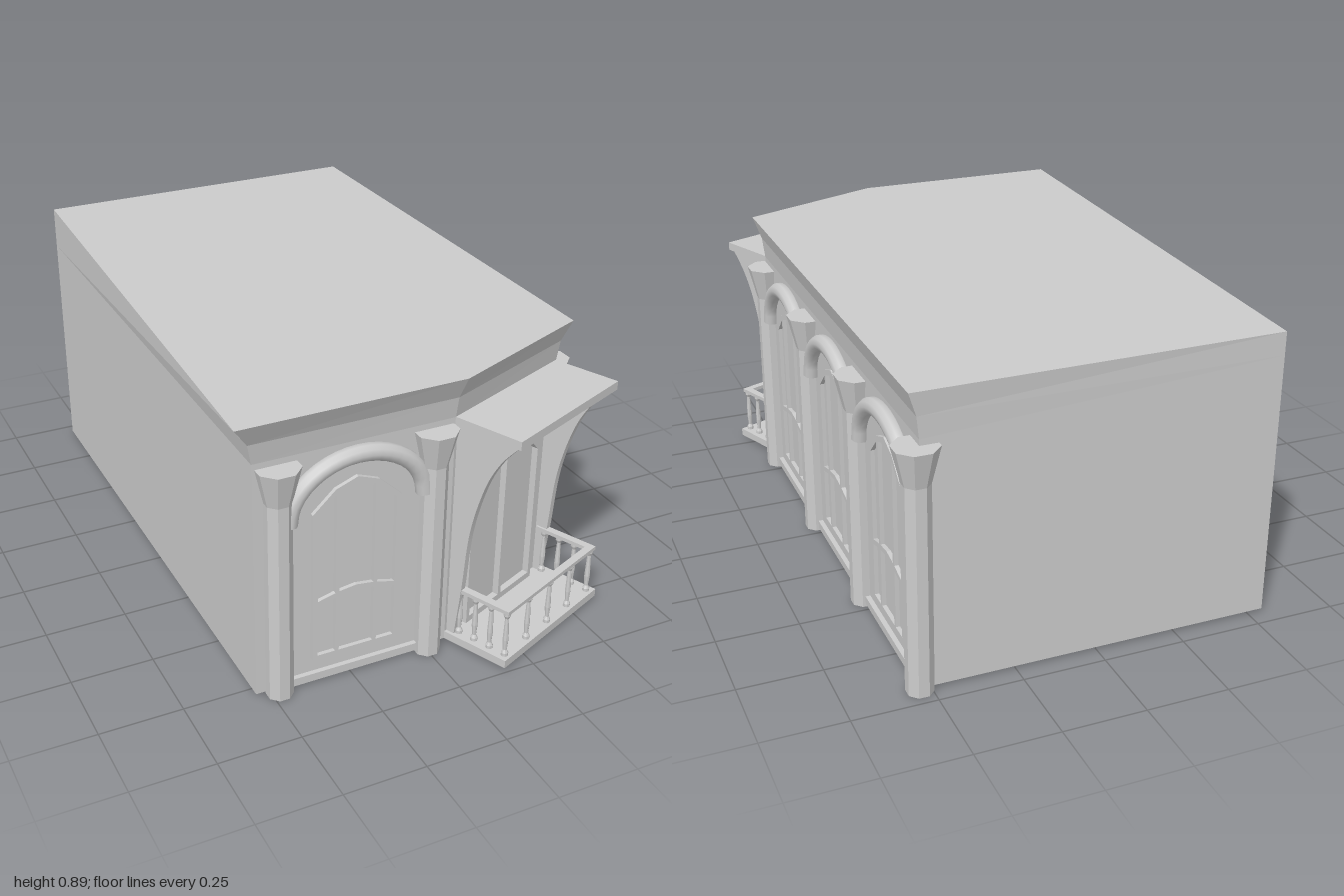
import * as THREE from 'three';

const material = new THREE.MeshStandardMaterial({ color: 0xcccccc, flatShading: true });
const smooth = new THREE.MeshStandardMaterial({ color: 0xcccccc });

function add(parent, name, geometry, x = 0, y = 0, z = 0, mat = material) {
  const mesh = new THREE.Mesh(geometry, mat);
  mesh.name = name;
  mesh.position.set(x, y, z);
  parent.add(mesh);
  return mesh;
}

// A group whose local +z points out of a wall
function wallGroup(parent, name, x, z, angle) {
  const group = new THREE.Group();
  group.name = name;
  group.position.set(x, 0, z);
  group.rotation.y = angle;
  parent.add(group);
  return group;
}

const vec = ([x, y]) => new THREE.Vector2(x, y);
const extrude = (shape, depth) => new THREE.ExtrudeGeometry(shape, { depth, bevelEnabled: false });
function panel(outline, holes, depth) {
  const shape = new THREE.Shape(outline.map(vec));
  holes.forEach((h) => shape.holes.push(new THREE.Path(h.map(vec))));
  return extrude(shape, depth);
}

// Walls, flared cornice and roof: one loop of corners morphed from plan to eaves
function bodyGeometry() {
  const plan = [[-0.545, 0.79], [0.07, 0.79], [0.525, 0.605], [0.525, -0.945], [-0.545, -0.945]];
  const eaves = [[-0.61, 0.835], [0.08, 0.832], [0.555, 0.635], [0.555, -0.953], [-0.545, -0.945]];
  const levels = [[0.01, 0], [0.76, 0.02], [0.825, 0.24], [0.895, 1]];
  const pos = [], index = [], n = plan.length;
  for (const [y, t] of levels) {
    plan.forEach(([x, z], i) => {
      pos.push(x + (eaves[i][0] - x) * t, y, z + (eaves[i][1] - z) * t);
    });
  }
  for (let l = 0; l < levels.length - 1; l++) {
    for (let i = 0; i < n; i++) {
      const a = l * n + i, b = l * n + (i + 1) % n;
      index.push(a, b, b + n, a, b + n, a + n);
    }
  }
  const top = (levels.length - 1) * n;
  for (let i = 1; i < n - 1; i++) {
    index.push(top, top + i, top + i + 1, 0, i + 1, i);
  }
  const g = new THREE.BufferGeometry();
  g.setAttribute('position', new THREE.Float32BufferAttribute(pos, 3));
  g.setIndex(index);
  const flat = g.toNonIndexed();
  flat.computeVertexNormals();
  return flat;
}

// Octagonal pillar with a flared capital (radii given to the flats)
function pillarGeometry() {
  const profile = [[0, 0], [0.0375, 0], [0.0375, 0.635], [0.062, 0.742], [0, 0.742]];
  const k = 1 / Math.cos(Math.PI / 8);
  return new THREE.LatheGeometry(profile.map(([r, y]) => new THREE.Vector2(r * k, y)), 8, Math.PI / 8);
}

// Arched six-pane window frame
function windowGeometry() {
  const outline = [[-0.137, 0.08], [0.137, 0.08], [0.137, 0.565], [0.067, 0.63], [0, 0.655], [-0.067, 0.63], [-0.137, 0.565]];
  const holes = [];
  for (const s of [-1, 1]) {
    holes.push([[s * 0.121, 0.093], [s * 0.066, 0.093], [s * 0.066, 0.276], [s * 0.121, 0.262]]);
    holes.push([[s * 0.121, 0.278], [s * 0.066, 0.292], [s * 0.066, 0.612], [s * 0.121, 0.56]]);
  }
  holes.push([[-0.054, 0.093], [0.054, 0.093], [0.054, 0.279], [0, 0.286], [-0.054, 0.279]]);
  holes.push([[-0.054, 0.295], [0, 0.302], [0.054, 0.295], [0.054, 0.618], [0, 0.637], [-0.054, 0.618]]);
  return panel(outline, holes, 0.013);
}

// Rounded moulding over a bay
function archGeometry(halfWidth) {
  const points = [];
  for (let i = 0; i <= 12; i++) {
    const a = Math.PI * i / 12;
    points.push(new THREE.Vector3(-Math.cos(a) * halfWidth, 0.555 + 0.17 * Math.sin(a), 0));
  }
  return new THREE.TubeGeometry(new THREE.CatmullRomCurve3(points), 20, 0.026, 10);
}

function addBay(parent, name, x, z, angle, halfWidth) {
  const bay = wallGroup(parent, name, x, z, angle);
  add(bay, 'arch', archGeometry(halfWidth - 0.026), 0, 0, 0.012, smooth);
  add(bay, 'window', windowGeometry());
  add(bay, 'plinth', new THREE.BoxGeometry(halfWidth * 2, 0.025, 0.03), 0, 0.0225, 0);
}

// Balcony, door and canopy on the angled corner
function addEntrance(parent) {
  const e = wallGroup(parent, 'entrance', 0.2975, 0.7, 0.397);
  add(e, 'balconyFloor', new THREE.BoxGeometry(0.49, 0.025, 0.225), 0, 0.0225, 0.1025);
  add(e, 'canopy', new THREE.BoxGeometry(0.49, 0.027, 0.225), 0, 0.7475, 0.1025);

  // Pointed double door
  const doorOutline = [[-0.17, 0.035], [0.17, 0.035], [0.17, 0.505], [0.088, 0.59], [0.018, 0.643], [-0.018, 0.643], [-0.088, 0.59], [-0.17, 0.505]];
  const leaves = [-1, 1].map((s) => [[s * 0.007, 0.055], [s * 0.156, 0.055], [s * 0.156, 0.502], [s * 0.082, 0.578], [s * 0.007, 0.63]]);
  add(e, 'doorFrame', panel(doorOutline, leaves, 0.02));

  // Curved brackets drawn as depth and height, then turned to stand off the wall
  const side = new THREE.Shape();
  side.moveTo(-0.01, 0.035);
  side.lineTo(0.022, 0.035);
  side.splineThru([[0.04, 0.2], [0.058, 0.4], [0.098, 0.56], [0.145, 0.66], [0.205, 0.735]].map(vec));
  side.lineTo(-0.01, 0.735);
  const bracket = extrude(side, 0.02);
  bracket.rotateY(-Math.PI / 2);
  for (const s of [-1, 1]) {
    add(e, 'bracket', bracket, s * 0.225 + 0.01);
    add(e, 'sideRail', new THREE.BoxGeometry(0.024, 0.012, 0.19), s * 0.22, 0.19, 0.1);
  }
  add(e, 'frontRail', new THREE.BoxGeometry(0.464, 0.012, 0.024), 0, 0.19, 0.195);

  // Turned balusters along the front and both sides
  const profile = [[0.011, 0.035], [0.011, 0.045], [0.006, 0.055], [0.009, 0.09], [0.006, 0.165], [0.011, 0.175], [0.011, 0.185]];
  const baluster = new THREE.LatheGeometry(profile.map(vec), 8);
  for (let i = -2; i <= 2; i++) add(e, 'baluster', baluster, i * 0.11, 0, 0.195);
  for (const s of [-1, 1]) {
    for (const z of [0.03, 0.085, 0.14]) add(e, 'baluster', baluster, s * 0.22, 0, z);
  }
}

export function createModel() {
  const model = new THREE.Group();
  model.name = 'building';
  add(model, 'body', bodyGeometry());

  // Pillars along the front and the right side
  const pillar = pillarGeometry();
  for (const x of [-0.476, 0.003]) add(model, 'frontPillar', pillar, x, 0, 0.8);
  const sideZ = [0.553, 0.054, -0.445, -0.938];
  for (const z of sideZ) add(model, 'sidePillar', pillar, 0.533, 0, z);

  // Arched bays between the pillars
  addBay(model, 'frontBay', -0.2365, 0.79, 0, 0.235);
  for (let i = 0; i < 3; i++) {
    addBay(model, 'sideBay', 0.525, (sideZ[i] + sideZ[i + 1]) / 2, Math.PI / 2, 0.245);
  }
  addEntrance(model);
  return model;
}
